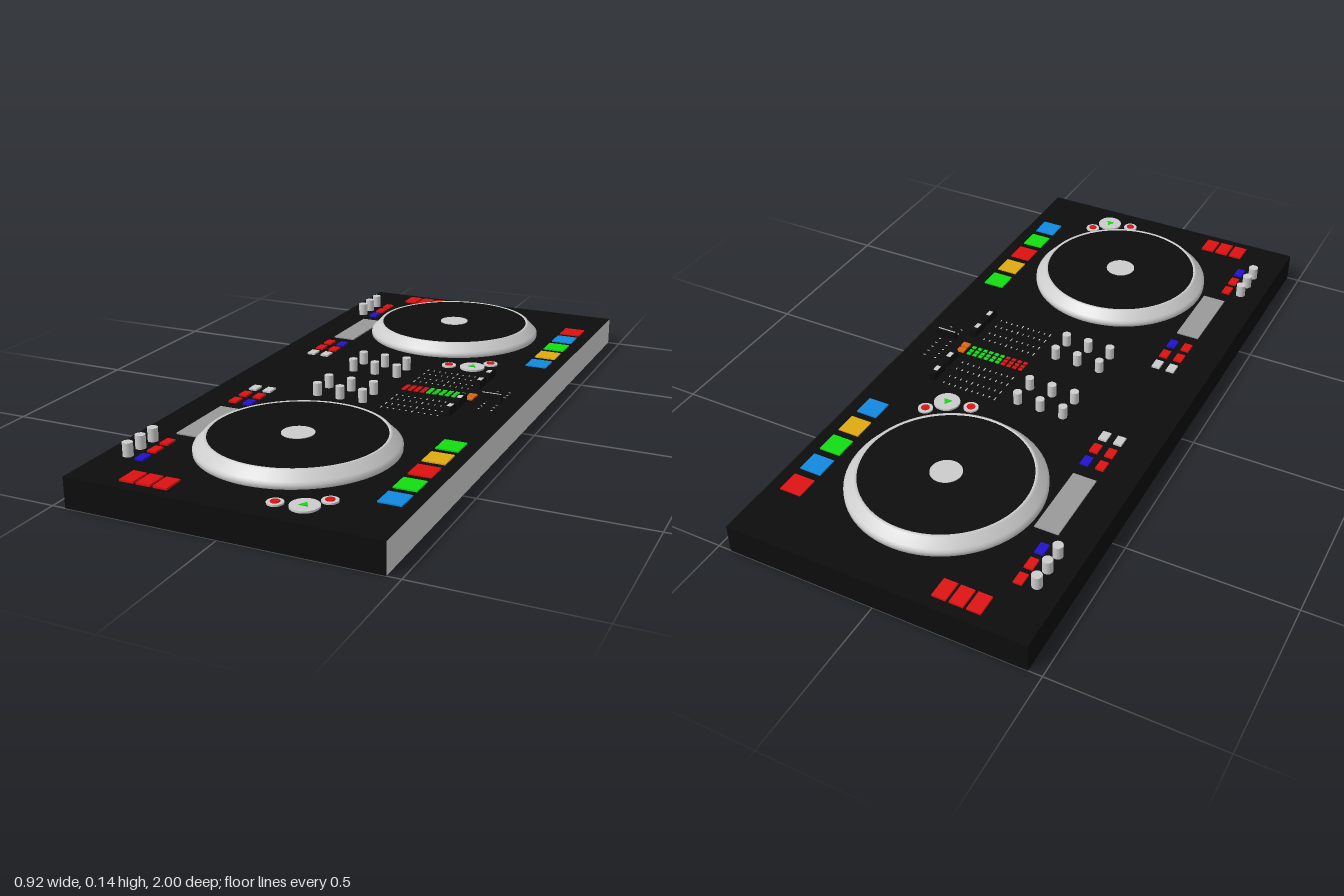
import * as THREE from 'three';

const TOP = 0.09; // deck surface height
const mats = {};
const mat = (color) => (mats[color] ??= new THREE.MeshStandardMaterial({ color }));
const GREY = 0xcccccc, BLACK = 0x0c0c0c, RED = 0xdd1111, BLUE = 0x1188dd, NAVY = 0x2211cc,
  GREEN = 0x11dd11, YELLOW = 0xddaa11, ORANGE = 0xdd6611;

function add(parent, name, geo, color, x, y, z) {
  const mesh = new THREE.Mesh(geo, mat(color));
  mesh.name = name;
  mesh.position.set(x, y, z);
  parent.add(mesh);
  return mesh;
}
// box and cylinder standing on height y
const box = (p, name, color, x, z, w, d, h, y = TOP) =>
  add(p, name, new THREE.BoxGeometry(w, h, d), color, x, y + h / 2, z);
const disc = (p, name, color, x, z, r, h, y = TOP) =>
  add(p, name, new THREE.CylinderGeometry(r, r, h, 32), color, x, y + h / 2, z);

function platter(z) {
  const g = new THREE.Group();
  g.name = 'platter';
  const ring = [[0.2, 0], [0.28, 0.006], [0.287, 0.008], [0.287, 0.02], [0.28, 0.026],
    [0.258, 0.05], [0.252, 0.052], [0.248, 0.05]].map(([r, y]) => new THREE.Vector2(r, y));
  add(g, 'platterRim', new THREE.LatheGeometry(ring, 72), GREY, 0, 0, 0);
  add(g, 'record', new THREE.CylinderGeometry(0.25, 0.25, 0.05, 72), BLACK, 0, 0.025, 0);
  disc(g, 'recordLabel', GREY, 0, 0, 0.047, 0.002, 0.05);
  g.position.set(0.013, TOP, z);
  return g;
}

// play button with an arrow, and two small cue buttons
function transport(z) {
  const g = new THREE.Group();
  g.name = 'transportButtons';
  disc(g, 'playButton', GREY, 0.2, 0, 0.04, 0.006);
  const arrow = add(g, 'playArrow', new THREE.CylinderGeometry(0.015, 0.015, 0.002, 3), GREEN, 0.2, TOP + 0.007, 0);
  arrow.rotation.y = Math.PI;
  for (const [x, dz] of [[0.123, 0.011], [0.243, -0.055]]) {
    disc(g, 'cueButton', GREY, x, dz, 0.023, 0.005);
    disc(g, 'cueLight', RED, x, dz, 0.013, 0.002, TOP + 0.005);
  }
  g.position.z = z;
  return g;
}

// s = -1 for the back deck, +1 for the front deck
function deck(s) {
  const g = new THREE.Group();
  g.name = s < 0 ? 'backDeck' : 'frontDeck';
  g.add(platter(s * 0.585), transport(s < 0 ? -0.267 : 0.908));

  // performance pads, listed from back to front
  const pads = s < 0 ? [RED, BLUE, GREEN, YELLOW, BLUE] : [GREEN, YELLOW, RED, GREEN, BLUE];
  pads.forEach((c, i) => box(g, 'pad', c, 0.385, s * 0.585 + (i - 2) * 0.096, 0.068, 0.07, 0.004));

  // effect knobs and their buttons
  [RED, RED, NAVY].forEach((c, i) => {
    const z = s * 0.75 + (i - 1) * 0.06;
    disc(g, 'effectKnob', GREY, -0.387, z, 0.015, 0.04);
    box(g, 'effectButton', c, -0.34, z, 0.026, 0.04, 0.006);
  });
  for (const x of [-0.287, -0.236, -0.185]) box(g, 'hotButton', RED, x, s * 0.932, 0.042, 0.065, 0.006);

  // touch strip and loop buttons
  box(g, 'touchStrip', 0x999999, -0.318, s * 0.503, 0.073, 0.24, 0.004);
  [[GREY, GREY], [RED, RED], [RED, NAVY]].forEach((row, i) =>
    row.forEach((c, j) => box(g, 'loopButton', c, -0.341 + j * 0.048, s * (0.197 + i * 0.061), 0.026, 0.038, 0.006)));
  return g;
}

function mixer() {
  const g = new THREE.Group();
  g.name = 'mixer';
  for (const z of [-0.167, -0.088, 0.088, 0.167]) {
    for (const x of [-0.141, -0.065, 0.011]) disc(g, 'equaliserKnob', GREY, x, z, 0.0135, 0.04);
    // channel fader with its cap and scale
    box(g, 'faderStem', BLACK, 0.293, z, 0.006, 0.02, 0.01);
    box(g, 'faderCap', BLACK, 0.293, z, 0.02, 0.066, 0.024, TOP + 0.008);
    box(g, 'faderMark', GREY, 0.293, z, 0.014, 0.024, 0.001, TOP + 0.032);
    for (let i = 0; i < 10; i++)
      for (const dz of [-0.018, 0.018])
        box(g, 'faderTick', GREY, 0.08 + i * 0.02, z + dz, 0.003, i % 5 ? 0.008 : 0.014, 0.001);
  }
  // level meter
  for (const z of [-0.02, -0.004, 0.014]) {
    for (let i = 0; i < 10; i++)
      box(g, 'meterLight', i < 4 ? RED : GREEN, 0.08 + i * 0.0205, z, 0.013, 0.011, 0.003);
  }
  for (const z of [-0.015, 0.013]) box(g, 'meterButton', ORANGE, 0.295, z, 0.025, 0.022, 0.005);
  // crossfader
  for (let i = 0; i < 8; i++)
    for (const x of [0.35, 0.389]) box(g, 'crossfaderTick', GREY, x, -0.087 + i * 0.024, 0.007, 0.003, 0.001);
  box(g, 'crossfaderStem', BLACK, 0.369, 0.022, 0.02, 0.006, 0.01);
  box(g, 'crossfaderCap', BLACK, 0.369, 0.022, 0.066, 0.018, 0.024, TOP + 0.008);
  box(g, 'crossfaderMark', GREY, 0.369, 0.022, 0.06, 0.004, 0.001, TOP + 0.032);
  return g;
}

export function createModel() {
  const model = new THREE.Group();
  model.name = 'mixingController';
  box(model, 'body', BLACK, 0, 0, 0.919, 2, TOP, 0);
  const panel = add(model, 'sidePanel', new THREE.PlaneGeometry(2, TOP), GREY, 0.4605, TOP / 2, 0);
  panel.rotation.y = Math.PI / 2;
  model.add(deck(-1), deck(1), mixer());
  return model;
}
